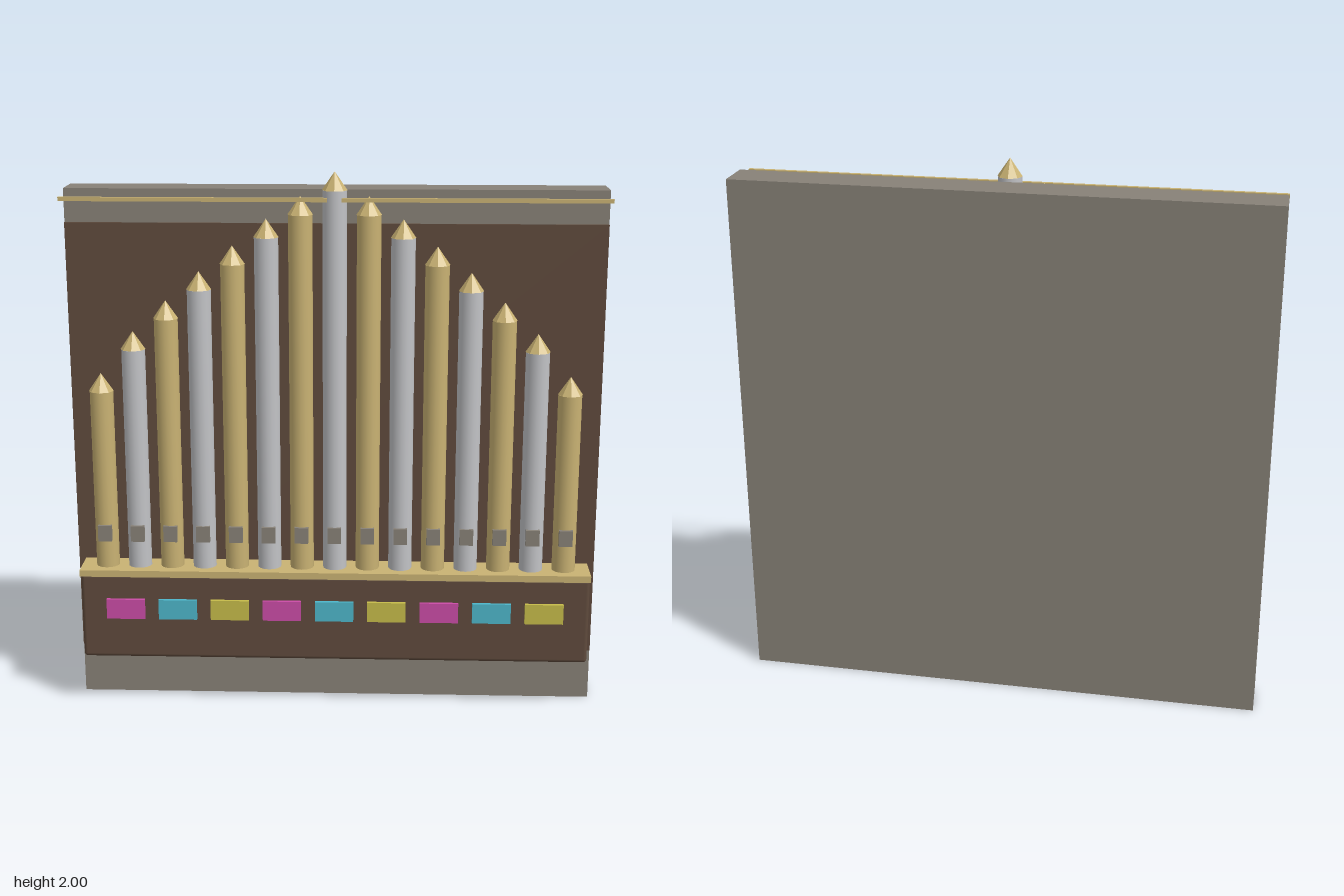
import * as THREE from 'three';
import { RoundedBoxGeometry } from 'three/addons/geometries/RoundedBoxGeometry.js';

function material(name, color) {
  const m = new THREE.MeshStandardMaterial({ color });
  m.name = name;
  return m;
}

export function createModel() {
  const root = new THREE.Group();
  root.name = 'pipeOrgan';

  const stone = material('stone', 0x878177);
  const wood = material('wood', 0x5f4a3c);
  const gold = material('gold', 0xc9b273);
  const silver = material('silver', 0xc2c3c6);
  const magenta = material('magenta', 0xcb4ca6);
  const cyan = material('cyan', 0x4db6ca);
  const yellow = material('yellow', 0xc6bb4a);

  const add = (name, geometry, mat, x, y, z, parent = root) => {
    const mesh = new THREE.Mesh(geometry, mat);
    mesh.name = name;
    mesh.position.set(x, y, z);
    parent.add(mesh);
    return mesh;
  };
  // Box given by its width and its y and z ranges
  const slab = (name, mat, w, y0, y1, z0, z1, x = 0, parent = root) =>
    add(name, new THREE.BoxGeometry(w, y1 - y0, z1 - z0), mat, x, (y0 + y1) / 2, (z0 + z1) / 2, parent);

  // Wall and wooden back panel
  slab('wall', stone, 1.93, 0, 1.93, -0.145, 0);
  slab('backPanel', wood, 1.93, 0.195, 1.81, -0.005, 0.008);

  // Wind chest with softened edges, and its ledge
  add('windChest', new RoundedBoxGeometry(1.88, 0.33, 0.13, 2, 0.014), wood, 0, 0.36, 0.065);
  slab('ledge', gold, 1.88, 0.52, 0.545, 0.005, 0.145);

  // Coloured stops along the chest
  const stops = [magenta, cyan, yellow];
  for (let i = 0; i < 9; i++) {
    slab('stop', stops[i % 3], 0.142, 0.354, 0.43, 0.125, 0.143, (i - 4) * 0.1935);
  }

  // Pipes, tallest in the middle, alternating silver and gold
  const tops = [1.935, 1.85, 1.77, 1.675, 1.583, 1.478, 1.365, 1.21];
  const base = 0.54, radius = 0.043, pipeZ = 0.068;
  for (let i = -7; i <= 7; i++) {
    const top = tops[Math.abs(i)];
    const pipe = new THREE.Group();
    pipe.name = 'pipe';
    pipe.position.x = i * 0.1207;
    root.add(pipe);
    add('pipeBody', new THREE.CylinderGeometry(radius, radius, top - base, 16),
      i % 2 ? gold : silver, 0, (top + base) / 2, pipeZ, pipe);
    const tip = new THREE.ConeGeometry(0.045, 0.065, 8).toNonIndexed();
    tip.computeVertexNormals();
    add('pipeTip', tip, gold, 0, top + 0.0325, pipeZ, pipe);
    slab('pipeMouth', stone, 0.05, 0.65, 0.71, 0.1, 0.12, 0, pipe);
  }

  // Thin rail across the top
  slab('topRail', gold, 1.93, 1.897, 1.911, 0.088, 0.102);

  return root;
}
